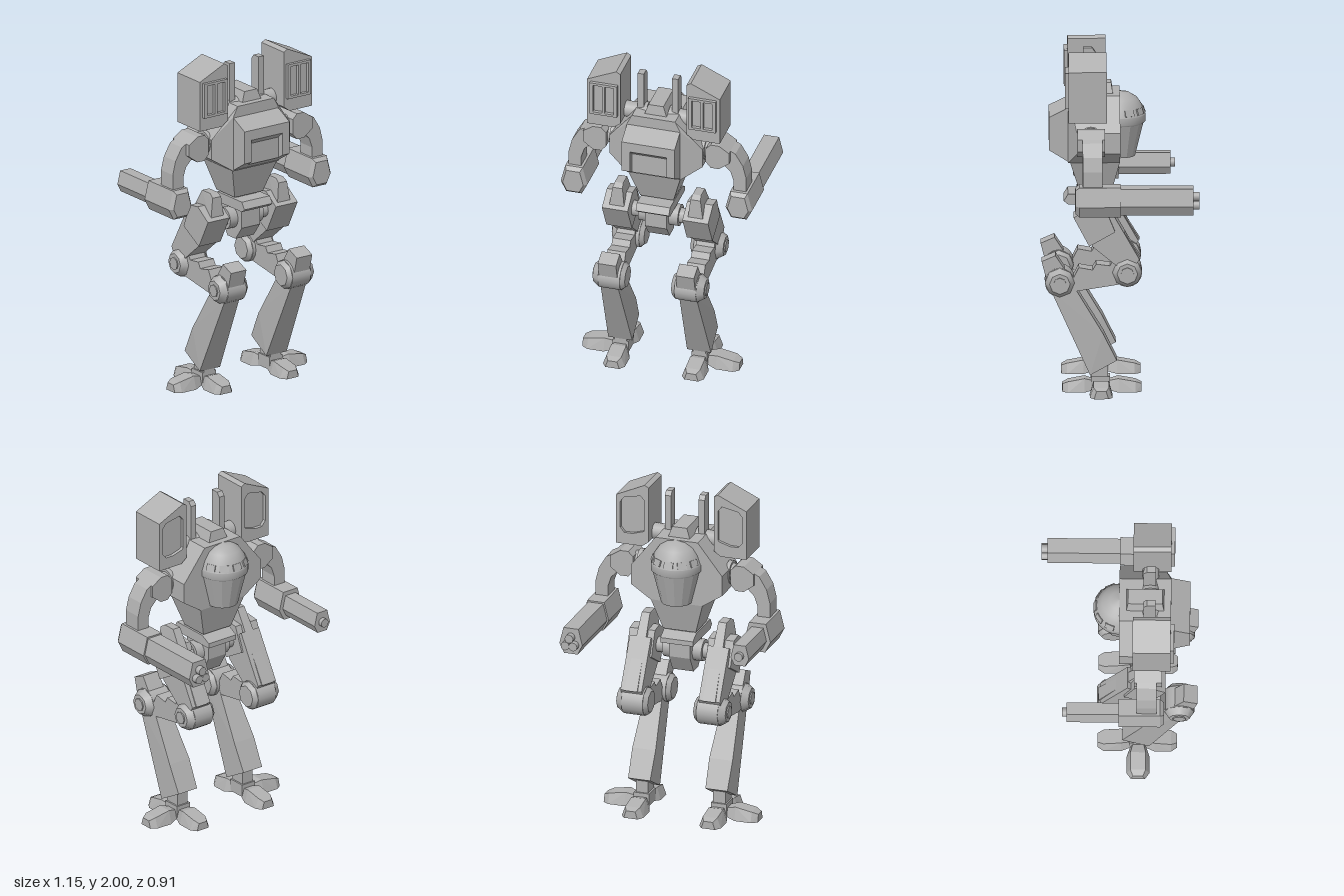
import * as THREE from 'three';
import { ConvexGeometry } from 'three/addons/geometries/ConvexGeometry.js';

const grey = new THREE.MeshStandardMaterial({ color: 0xb0b0b0 });
grey.name = 'armour grey';

const shapeOf = (pts) => new THREE.Shape(pts.map(([a, b]) => new THREE.Vector2(a, b)));

// Prism from an (x, y) outline between two depths, with optional holes
function prismZ(pts, z0, z1, holes = []) {
  const s = shapeOf(pts);
  holes.forEach((h) => s.holes.push(shapeOf(h)));
  return new THREE.ExtrudeGeometry(s, { depth: z1 - z0, bevelEnabled: false }).translate(0, 0, z0);
}

// Prism from a (z, y) outline between two x positions
function prismX(pts, x0, x1) {
  const s = shapeOf(pts.map(([z, y]) => [-z, y]));
  return new THREE.ExtrudeGeometry(s, { depth: x1 - x0, bevelEnabled: false }).rotateY(Math.PI / 2).translate(x0, 0, 0);
}

const hull = (pts) => new ConvexGeometry(pts.map((p) => new THREE.Vector3(...p)));
const box = (x0, x1, y0, y1, z0, z1) =>
  new THREE.BoxGeometry(x1 - x0, y1 - y0, z1 - z0).translate((x0 + x1) / 2, (y0 + y1) / 2, (z0 + z1) / 2);
const rect = (x0, x1, y0, y1) => [[x0, y0], [x1, y0], [x1, y1], [x0, y1]];

// Cylinder along x, and along z
const cylX = (r0, r1, x0, x1, y, z, n = 16) =>
  new THREE.CylinderGeometry(r1, r0, x1 - x0, n).rotateZ(-Math.PI / 2).translate((x0 + x1) / 2, y, z);
const cylZ = (r, x, y, z0, z1, n = 12) =>
  new THREE.CylinderGeometry(r, r, z1 - z0, n).rotateX(Math.PI / 2).translate(x, y, (z0 + z1) / 2);

// Mirror a geometry across x = 0, keeping its faces outward
function mirror(geo) {
  const g = geo.index ? geo.toNonIndexed() : geo.clone();
  for (const name of ['position', 'normal']) {
    const a = g.attributes[name];
    for (let i = 0; i < a.count; i += 3) {
      const v = [0, 2, 1].map((k) => [-a.getX(i + k), a.getY(i + k), a.getZ(i + k)]);
      v.forEach((p, k) => a.setXYZ(i + k, ...p));
    }
  }
  return g;
}

export function createModel() {
  const model = new THREE.Group();
  model.name = 'walker';
  const add = (name, geo) => {
    const m = new THREE.Mesh(geo, grey);
    m.name = name;
    model.add(m);
    return m;
  };
  const pair = (name, geo) => {
    add(name + 'Left', geo);
    add(name + 'Right', mirror(geo));
  };

  // Torso: octagonal body with chamfered rear corners
  const torso = [];
  for (const s of [1, -1]) {
    [[0.13, 1.72], [0.16, 1.66], [0.16, 1.33]].forEach(([x, y]) => torso.push([s * x, y, 0], [s * x, y, 0.3]));
    [[0.28, 1.53], [0.28, 1.41]].forEach(([x, y]) => torso.push([s * x, y, 0], [s * x, y, 0.25]));
  }
  add('torso', hull(torso));
  add('roofHump', hull([-1, 1].flatMap((s) => [
    [s * 0.068, 1.715, 0.04], [s * 0.068, 1.715, 0.26], [s * 0.045, 1.78, 0.05], [s * 0.045, 1.78, 0.25]])));

  // Rear pack with a recessed hatch
  pair('packSide', prismX([[0.29, 1.33], [0.41, 1.405], [0.41, 1.6], [0.29, 1.66]], 0.11, 0.16));
  add('packHatch', prismX([[0.29, 1.33], [0.37, 1.38], [0.37, 1.505], [0.41, 1.54], [0.41, 1.6], [0.29, 1.66]], -0.11, 0.11));

  // Waist and pelvis
  add('waist', hull([-1, 1].flatMap((s) => [
    [s * 0.16, 1.335, 0.29], [s * 0.16, 1.335, 0], [s * 0.1, 1.14, 0.23], [s * 0.1, 1.14, 0.05]])));
  add('waistRing', box(-0.075, 0.075, 1.1, 1.15, 0.07, 0.21));
  add('pelvisPlate', prismX([[0, 1.07], [0, 1.1], [0.06, 1.13], [0.3, 1.13], [0.325, 1.09], [0.3, 1.07]], -0.1, 0.1));
  add('pelvis', prismX([[0.05, 1.08], [0.25, 1.08], [0.25, 0.95], [0.19, 0.87], [0.11, 0.87], [0.05, 0.97]], -0.065, 0.065));
  pair('hipAxle', cylX(0.065, 0.065, 0.06, 0.12, 0.995, 0.15));
  pair('hipShaft', cylX(0.045, 0.045, 0.11, 0.2, 0.995, 0.15));

  // Cockpit: half dome, collar and tapered faceted chin
  const lathe = (pts, n) => new THREE.LatheGeometry(pts.map((p) => new THREE.Vector2(...p)), n, Math.PI / 2, Math.PI);
  add('cockpitDome', lathe([[0.147, 1.585], [0.128, 1.64], [0.1, 1.682], [0.055, 1.71], [0, 1.72]], 20));
  add('cockpitCollar', lathe([[0.138, 1.535], [0.149, 1.545], [0.149, 1.585], [0.145, 1.59]], 20));
  const chin = lathe([[0, 1.335], [0.09, 1.34], [0.14, 1.54]], 7).toNonIndexed();
  chin.computeVertexNormals();
  add('cockpitChin', chin);
  for (let i = -2; i <= 2; i++) {
    const a = i * 0.58 + Math.PI;
    const w = add('cockpitWindow', new THREE.BoxGeometry(0.055, 0.038, 0.008));
    w.position.set(Math.sin(a) * 0.138, 1.613, Math.cos(a) * 0.138);
    w.rotation.set(-0.35, a, 0, 'YXZ');
  }

  // Fins and launcher mounts
  pair('fin', prismX([[0.14, 1.68], [0.21, 1.68], [0.21, 1.955], [0.16, 1.955], [0.14, 1.93]], 0.085, 0.122));
  pair('mountFlare', cylX(0.06, 0.046, 0.065, 0.125, 1.685, 0.18));
  pair('mountAxle', cylX(0.048, 0.048, 0.12, 0.21, 1.685, 0.18));

  // Launcher boxes: framed rear cells, recessed octagon panel on the far face
  const pod = [[0.31, 1.62], [0.4, 1.62], [0.4, 1.92], [0.225, 2], [0.2, 1.985], [0.2, 1.69]];
  const panel = [[0.25, 1.69], [0.35, 1.69], [0.375, 1.72], [0.375, 1.88], [0.35, 1.91], [0.25, 1.93], [0.225, 1.9], [0.225, 1.72]];
  pair('launcher', prismZ(pod, 0.1, 0.3));
  pair('launcherRim', prismZ(pod, 0.08, 0.1, [panel]));
  pair('launcherFrame', prismZ(rect(0.215, 0.38, 1.7, 1.91), 0.3, 0.32,
    [rect(0.235, 0.29, 1.715, 1.895), rect(0.305, 0.36, 1.715, 1.895)]));
  pair('launcherFoot', prismZ([[0.2, 1.65], [0.24, 1.62], [0.4, 1.62], [0.4, 1.66], [0.2, 1.72]], 0.08, 0.3));

  // Shoulders and bent upper arms
  pair('shoulderDisc', cylX(0.07, 0.07, 0.26, 0.285, 1.495, 0.17));
  pair('shoulderAxle', cylX(0.055, 0.055, 0.28, 0.31, 1.495, 0.17));
  pair('shoulder', prismZ([[0.3, 1.45], [0.33, 1.415], [0.38, 1.415], [0.44, 1.46], [0.44, 1.53], [0.38, 1.57], [0.33, 1.57], [0.3, 1.54]], 0.09, 0.25));
  pair('upperArm', prismZ([[0.42, 1.54], [0.47, 1.515], [0.515, 1.44], [0.535, 1.36], [0.535, 1.24], [0.46, 1.24],
    [0.46, 1.33], [0.44, 1.39], [0.4, 1.43]], 0.105, 0.22));

  // Forearms with hexagonal cuffs
  const hex = (sx, sy) => [[-0.052, 0.09], [-0.08, -0.02], [-0.047, -0.085], [0.047, -0.085], [0.08, -0.02], [0.052, 0.09]]
    .map(([x, y]) => [0.497 + x * sx, 1.18 + y * sy]);
  pair('forearm', prismZ(hex(1, 1), 0, 0.24));
  pair('forearmCap', hull([...hex(1, 1).map(([x, y]) => [x, y, 0.24]), ...hex(0.78, 0.78).map(([x, y]) => [x, y, 0.263])]));

  // Long triple barrel on the left, short single barrel on the right
  add('longGun', prismZ(hex(0.88, 0.9), -0.42, 0.01));
  [[-0.024, 1.16], [0.024, 1.16], [0, 1.207]].forEach(([x, y]) =>
    add('longMuzzle', cylZ(0.026, 0.497 + x, y, -0.455, -0.41)));
  add('shortGun', mirror(prismZ(hex(0.7, 0.72), -0.3, 0.01)));
  add('shortMuzzle', cylZ(0.026, -0.497, 1.18, -0.325, -0.29));

  // Thighs: wide rear block, slim lower block and a raised ridge
  pair('thighBlock', prismX([[0.27, 1.04], [0.18, 0.87], [0.03, 0.955], [0.09, 1.1], [0.17, 1.11]], 0.165, 0.32));
  pair('thighLower', prismX([[0.2, 0.94], [0.16, 0.865], [0.02, 0.75], [-0.07, 0.72], [-0.11, 0.79], [0.05, 1.07]], 0.175, 0.305));
  const ridge = [];
  [[0.25, 1.03, 0.19, 0.285], [0.24, 1.17, 0.205, 0.265], [0.21, 1.19, 0.21, 0.26], [0.13, 1.19, 0.21, 0.26],
    [-0.118, 0.79, 0.2, 0.28], [0, 0.79, 0.19, 0.29]].forEach(([z, y, a, b]) => ridge.push([a, y, z], [b, y, z]));
  pair('thighRidge', hull(ridge));

  // Knee and hock joints
  for (const [name, y, z] of [['knee', 0.71, -0.04], ['hock', 0.65, 0.35]]) {
    pair(name + 'Joint', cylX(0.086, 0.086, 0.165, 0.295, y, z, 16));
    pair(name + 'Inner', cylX(0.065, 0.086, 0.14, 0.165, y, z, 8));
    pair(name + 'Outer', cylX(0.086, 0.06, 0.295, 0.335, y, z, 8));
    pair(name + 'Hub', cylX(0.038, 0.038, 0.33, 0.342, y, z, 8));
  }

  // Stepped link between knee and hock
  pair('legLink', prismX([[0.34, 0.61], [0.25, 0.6], [0, 0.64], [-0.02, 0.74], [0.04, 0.79], [0.06, 0.75], [0.14, 0.76],
    [0.16, 0.725], [0.24, 0.74], [0.27, 0.68], [0.34, 0.69]], 0.185, 0.295));
  pair('hockGuard', prismX([[0.455, 0.775], [0.375, 0.81], [0.29, 0.68], [0.42, 0.64]], 0.18, 0.29));

  // Shins widen towards the ankle
  const shin = [];
  [[0.4, 0.6, 0.185, 0.29], [0.27, 0.63, 0.185, 0.29], [0.1, 0.35, 0.165, 0.308],
    [0.02, 0.19, 0.17, 0.305], [0.175, 0.105, 0.165, 0.31]].forEach(([z, y, a, b]) => shin.push([a, y, z], [b, y, z]));
  pair('shin', hull(shin));

  // Feet: ankle with three splayed toes
  pair('ankle', box(0.2, 0.275, 0.05, 0.2, 0.07, 0.17));
  pair('footHub', box(0.19, 0.285, 0.015, 0.09, 0.06, 0.17));
  const toe = [];
  [[0.03, 0.035, 0.015, 0.06], [0.1, 0.055, 0, 0.078], [0.2, 0.055, 0, 0.06], [0.235, 0.035, 0, 0.045]]
    .forEach(([d, w, y0, y1]) => [-1, 1].forEach((s) => toe.push([s * w * 1.2, y0, d], [s * w * 0.8, y1, d])));
  [['toeRear', 0, 0.95], ['toeOuter', Math.PI / 2, 1], ['toeFront', Math.PI, 1]].forEach(([name, a, k]) =>
    pair(name, hull(toe).scale(1, 1, k).rotateY(a).translate(0.238, 0, 0.112)));

  return model;
}
